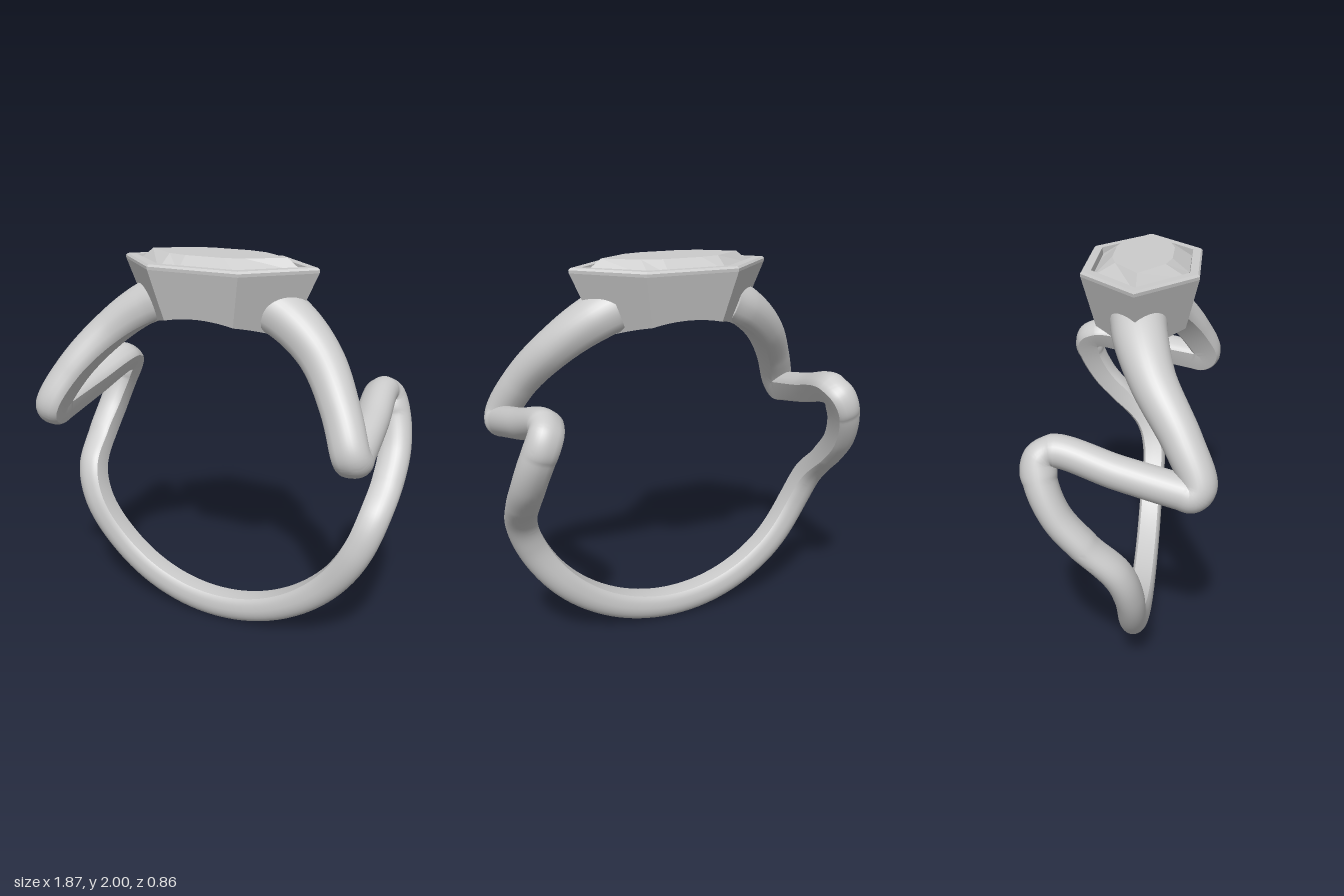
import * as THREE from 'three';
import { toCreasedNormals } from 'three/addons/utils/BufferGeometryUtils.js';

const CY = 0.935, RI = 0.78, RM = 0.86, ZC = 0.04; // finger hole centre, radii, centre plane

// Skin a list of closed loops, optionally capping both ends.
function loft(loops, { caps = false, ringClosed = false } = {}) {
  const pos = [], n = loops[0].length;
  const tri = (...p) => p.forEach(v => pos.push(v.x, v.y, v.z));
  const rows = ringClosed ? loops.length : loops.length - 1;
  for (let i = 0; i < rows; i++) {
    const A = loops[i], B = loops[(i + 1) % loops.length];
    for (let j = 0; j < n; j++) {
      const k = (j + 1) % n;
      tri(A[j], B[j], B[k]);
      tri(A[j], B[k], A[k]);
    }
  }
  if (caps) {
    [loops[0], loops[loops.length - 1]].forEach((L, end) => {
      const c = L.reduce((s, p) => s.add(p), new THREE.Vector3()).divideScalar(n);
      for (let j = 0; j < n; j++) {
        const k = (j + 1) % n;
        if (end) tri(c, L[k], L[j]); else tri(c, L[j], L[k]);
      }
    });
  }
  const g = new THREE.BufferGeometry();
  g.setAttribute('position', new THREE.Float32BufferAttribute(pos, 3));
  g.computeVertexNormals();
  return g;
}

// Zigzag band wrapped on the finger cylinder: height, z, width, thickness.
function bandGeometry() {
  const half = [
    [0.30, 0.04, 0.135, 0.155], [0.58, 0.04, 0.135, 0.155], [0.74, -0.01, 0.135, 0.155],
    [0.90, -0.155, 0.135, 0.155], [1.04, -0.27, 0.14, 0.155], [1.20, -0.34, 0.15, 0.155],
    [1.29, -0.345, 0.15, 0.155], [1.325, -0.29, 0.15, 0.155], [1.25, 0.0, 0.155, 0.157],
    [1.185, 0.27, 0.16, 0.16], [1.175, 0.32, 0.16, 0.165], [1.21, 0.345, 0.165, 0.165],
    [1.38, 0.27, 0.18, 0.165], [1.58, 0.13, 0.21, 0.185], [1.70, 0.06, 0.25, 0.21],
    [1.745, 0.04, 0.26, 0.22],
  ].map(([y, z, w, h]) => ({ a: Math.asin((y - CY) / RM), z, w, h }));
  const mirrored = half.map(p => ({ ...p, a: -Math.PI - p.a })).reverse();
  const all = [...mirrored, { a: -Math.PI / 2, z: 0.04, w: 0.135, h: 0.155 }, ...half];
  const path = new THREE.CatmullRomCurve3(all.map(p => new THREE.Vector3(p.a * RM, p.z, 0)));
  const size = new THREE.CatmullRomCurve3(all.map(p => new THREE.Vector3(p.w, p.h, 0)));

  // Section: domed outside, creased edges and a slight comfort curve inside.
  const section = [];
  for (let i = 0; i <= 16; i++) {
    const t = Math.PI * i / 16;
    section.push([0.5 * Math.cos(t), 0.45 + 0.55 * Math.sin(t)]);
  }
  section.push([-0.48, 0.25], [-0.43, 0.11], [-0.36, 0.03], [0, 0], [0.36, 0.03], [0.43, 0.11], [0.48, 0.25]);

  const loops = [], N = 420;
  for (let i = 0; i <= N; i++) {
    const p = path.getPoint(i / N), t = path.getTangent(i / N), s = size.getPoint(i / N);
    loops.push(section.map(([u, v]) => {
      const a = (p.x + u * s.x * t.y) / RM, r = RI + v * s.y;
      return new THREE.Vector3(r * Math.cos(a), CY + r * Math.sin(a), p.y - u * s.x * t.x);
    }));
  }
  return toCreasedNormals(loft(loops, { caps: true }), 0.62);
}

// Elongated hexagon (tip x, corner x, half depth), each edge subdivided.
function hexagon(tip, cx, hz, y, div = 10) {
  const c = [[tip, 0], [cx, hz], [-cx, hz], [-tip, 0], [-cx, -hz], [cx, -hz]];
  return c.flatMap(([x, z], i) => {
    const [x2, z2] = c[(i + 1) % 6];
    return Array.from({ length: div }, (_, k) =>
      new THREE.Vector3(x + (x2 - x) * k / div, y, ZC + z + (z2 - z) * k / div));
  });
}

// Tapered hexagonal setting, hollow, with its underside cut by the finger cylinder.
function bezelGeometry() {
  const cut = p => { p.y = CY + Math.sqrt(RI * RI - p.x * p.x); return p; };
  const outerBottom = hexagon(0.52, 0.235, 0.27, 1.94).map(p => {
    const x = p.x, z = p.z - ZC;
    for (let i = 0; i < 8; i++) {
      const s = 1 - (1.94 - cut(p).y) * 0.88;
      p.x = x * s;
      p.z = ZC + z * s;
    }
    return cut(p);
  });
  return loft([
    hexagon(0.27, 0.125, 0.14, 0).map(cut),
    outerBottom,
    hexagon(0.52, 0.235, 0.27, 1.94),
    hexagon(0.522, 0.236, 0.271, 1.955),
    hexagon(0.51, 0.23, 0.263, 1.965),
    hexagon(0.455, 0.207, 0.225, 1.965),
    hexagon(0.45, 0.205, 0.222, 1.915),
    hexagon(0.30, 0.14, 0.155, 1.89),
  ], { ringClosed: true });
}

// Faceted stone: ten-sided loops given by one quadrant (tip, corner, inner corner).
function gemGeometry() {
  const loop = (y, tip, x1, z1, x2, z2) => [
    [tip, 0], [x1, z1], [x2, z2], [-x2, z2], [-x1, z1],
    [-tip, 0], [-x1, -z1], [-x2, -z2], [x2, -z2], [x1, -z1],
  ].map(([x, z]) => new THREE.Vector3(x, y, ZC + z));
  return loft([
    loop(1.80, 0.12, 0.06, 0.03, 0.03, 0.03),
    loop(1.85, 0.29, 0.14, 0.13, 0.07, 0.13),
    loop(1.915, 0.445, 0.203, 0.22, 0.1, 0.22),
    loop(1.935, 0.445, 0.203, 0.22, 0.1, 0.22),
    loop(2.0, 0.36, 0.2, 0.115, 0.1, 0.14),
  ], { caps: true });
}

export function createModel() {
  const model = new THREE.Group();
  model.name = 'ring';
  const add = (name, geometry, flatShading) => {
    const mesh = new THREE.Mesh(geometry, new THREE.MeshStandardMaterial({ color: 0xcccccc, flatShading }));
    mesh.name = name;
    model.add(mesh);
  };
  add('band', bandGeometry(), false);
  add('bezel', bezelGeometry(), true);
  add('gemstone', gemGeometry(), true);
  return model;
}
